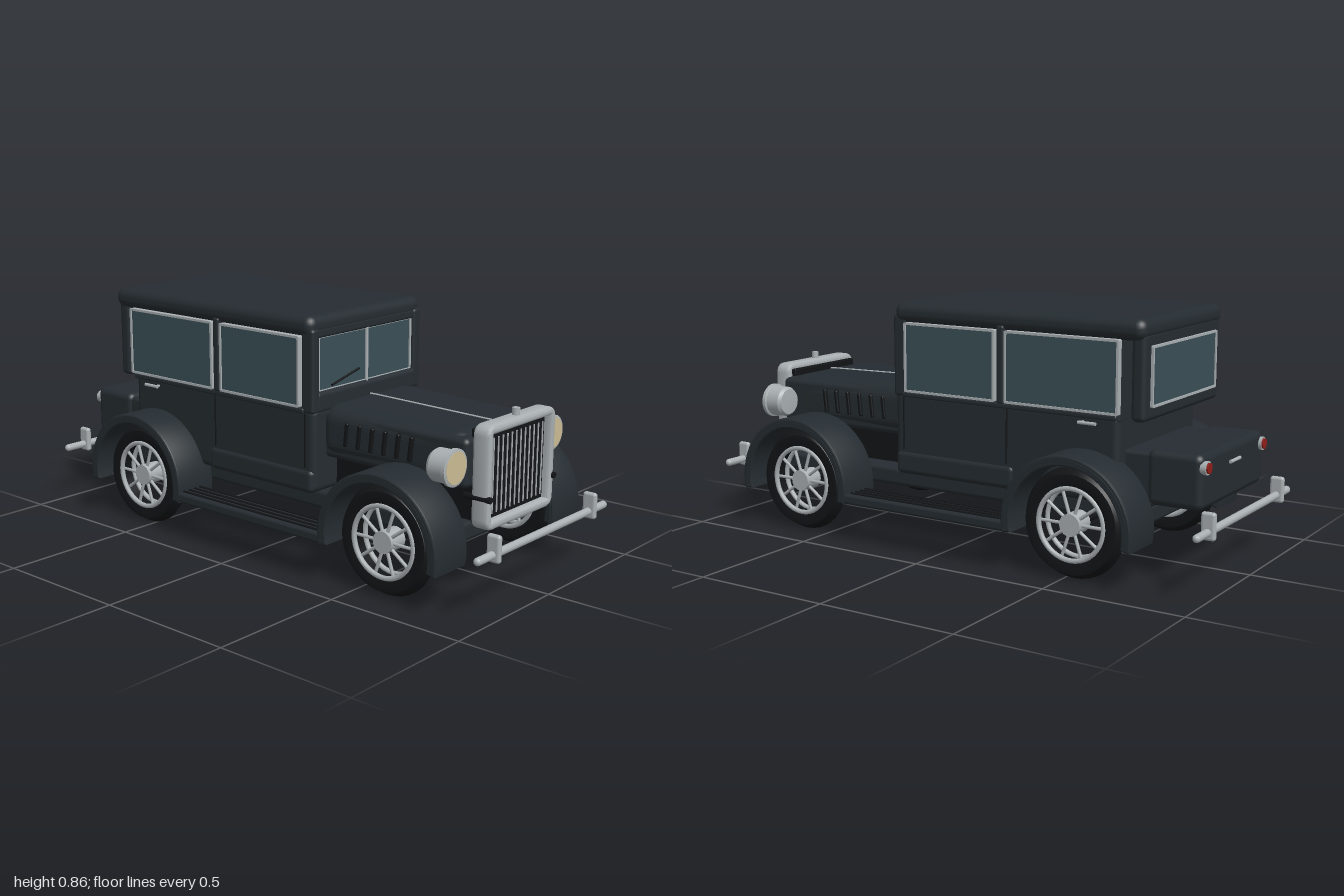
import * as THREE from 'three';
import { toCreasedNormals } from 'three/addons/utils/BufferGeometryUtils.js';
import { RoundedBoxGeometry } from 'three/addons/geometries/RoundedBoxGeometry.js';

const paint = (color) => new THREE.MeshStandardMaterial({ color });
const BODY = paint(0x252c31), BLACK = paint(0x121416), CHROME = paint(0xaab0b3);
const GLASS = paint(0x3b5057), LENS = paint(0xcbbd94), RED = paint(0x8e1f1a);

export function createModel() {
  const car = new THREE.Group();
  car.name = 'vintageCar';

  const add = (name, geo, mat, x = 0, y = 0, z = 0, parent = car) => {
    const m = new THREE.Mesh(geo, mat);
    m.name = name;
    m.position.set(x, y, z);
    parent.add(m);
    return m;
  };
  // Rounded box given by its min/max on each axis
  const block = (name, mat, [x0, x1], [y0, y1], [z0, z1], r = 0.01) =>
    add(name, new RoundedBoxGeometry(x1 - x0, y1 - y0, z1 - z0, 3, r), mat,
      (x0 + x1) / 2, (y0 + y1) / 2, (z0 + z1) / 2);
  const rod = (name, mat, a, b, r, sides = 12, parent = car) => {
    const A = new THREE.Vector3(...a), B = new THREE.Vector3(...b), d = B.clone().sub(A);
    const m = add(name, new THREE.CylinderGeometry(r, r, d.length(), sides), mat, 0, 0, 0, parent);
    m.position.copy(A).add(B).multiplyScalar(0.5);
    m.quaternion.setFromUnitVectors(new THREE.Vector3(0, 1, 0), d.normalize());
    return m;
  };
  const roundRect = (s, w, h, r) => {
    const x = w / 2, y = h / 2;
    s.moveTo(-x + r, -y);
    s.lineTo(x - r, -y); s.quadraticCurveTo(x, -y, x, -y + r);
    s.lineTo(x, y - r); s.quadraticCurveTo(x, y, x - r, y);
    s.lineTo(-x + r, y); s.quadraticCurveTo(-x, y, -x, y - r);
    s.lineTo(-x, -y + r); s.quadraticCurveTo(-x, -y, -x + r, -y);
    return s;
  };
  const frameGeo = (w, h, t, depth, r, bevel) => {
    const s = roundRect(new THREE.Shape(), w - 2 * bevel, h - 2 * bevel, r);
    s.holes.push(roundRect(new THREE.Path(), w - 2 * t + 2 * bevel, h - 2 * t + 2 * bevel, r * 0.4));
    const g = new THREE.ExtrudeGeometry(s, { depth: depth - 2 * bevel, bevelEnabled: bevel > 0,
      bevelSize: bevel, bevelThickness: bevel, bevelSegments: 3, curveSegments: 6 });
    return g.translate(0, 0, bevel - depth / 2);
  };
  // Pane with a thin bright surround, facing +z before turning
  const pane = (name, w, h, x, y, z, turn) => {
    const g = new THREE.Group();
    g.name = name;
    g.position.set(x, y, z);
    g.rotation.y = turn;
    add('glass', new THREE.BoxGeometry(w - 0.01, h - 0.01, 0.012), GLASS, 0, 0, 0, g);
    add('windowSurround', frameGeo(w, h, 0.008, 0.022, 0.006, 0), CHROME, 0, 0, 0, g);
    car.add(g);
  };

  // Chassis, engine bay and cabin
  block('chassis', BODY, [-0.25, 0.25], [0.19, 0.255], [-0.75, 0.81], 0.015);
  block('engineBay', BLACK, [-0.17, 0.17], [0.24, 0.4], [0.2, 0.82], 0.01);
  block('lowerBody', BODY, [-0.29, 0.29], [0.25, 0.55], [-0.655, 0.24], 0.025);
  block('sill', BODY, [-0.297, 0.297], [0.25, 0.335], [-0.26, 0.235], 0.02);
  block('cabin', BODY, [-0.285, 0.285], [0.52, 0.82], [-0.655, 0.215], 0.012);
  block('roof', BODY, [-0.302, 0.302], [0.79, 0.863], [-0.745, 0.235], 0.033);
  block('rearPanel', BODY, [-0.285, 0.285], [0.53, 0.82], [-0.742, -0.69], 0.018);
  block('trunk', BODY, [-0.25, 0.25], [0.258, 0.442], [-0.93, -0.735], 0.025);
  block('trunkMount', BODY, [-0.24, 0.24], [0.25, 0.43], [-0.76, -0.64], 0.015);

  // Windscreen
  block('cowl', BODY, [-0.275, 0.275], [0.525, 0.605], [0.18, 0.242], 0.02);
  block('windscreenHeader', BODY, [-0.285, 0.285], [0.785, 0.82], [0.19, 0.235]);
  pane('windscreen', 0.508, 0.195, 0, 0.695, 0.219, 0);
  rod('windscreenDivider', CHROME, [0, 0.6, 0.23], [0, 0.79, 0.23], 0.006);
  rod('wiper', BLACK, [-0.195, 0.618, 0.238], [-0.05, 0.653, 0.238], 0.004, 6);
  pane('rearWindow', 0.49, 0.2, 0, 0.675, -0.74, Math.PI);

  for (const s of [-1, 1]) {
    const span = (a, b) => (s > 0 ? [a, b] : [-b, -a]);
    const turn = s * Math.PI / 2;
    block('windscreenPost', BODY, span(0.255, 0.295), [0.53, 0.82], [0.185, 0.24], 0.012);
    pane('frontSideWindow', 0.375, 0.245, s * 0.296, 0.672, -0.002, turn);
    pane('rearSideWindow', 0.43, 0.245, s * 0.296, 0.672, -0.443, turn);
    block('doorPillar', BODY, span(0.28, 0.305), [0.545, 0.81], [-0.224, -0.196], 0.008);
    block('doorRail', BODY, span(0.28, 0.302), [0.53, 0.548], [-0.65, 0.2], 0.006);
    rod('doorHandle', CHROME, [s * 0.308, 0.516, -0.515], [s * 0.308, 0.516, -0.58], 0.006);
    rod('handleStem', CHROME, [s * 0.28, 0.516, -0.525], [s * 0.308, 0.516, -0.525], 0.005);
    for (const z of [0.2, -0.23])
      rod('doorSeam', BLACK, [s * 0.29, 0.34, z], [s * 0.29, 0.53, z], 0.003, 6);

    // Running board with ribs
    block('runningBoard', BODY, span(0.3, 0.422), [0.142, 0.178], [-0.315, 0.39], 0.01);
    for (let i = 0; i < 4; i++)
      block('boardRib', BLACK, span(0.315 + i * 0.026, 0.325 + i * 0.026), [0.172, 0.183], [-0.29, 0.36], 0.003);

    // Hood louvres
    for (let i = 0; i < 6; i++) {
      const z = 0.335 + i * 0.054;
      const m = block('hoodLouvre', BLACK, span(0.222, 0.24), [0.425, 0.51], [z - 0.007, z + 0.007], 0.005);
      m.rotation.x = 0.1;
    }

    // Headlamp
    const shell = new THREE.LatheGeometry([[0, -0.045], [0.047, -0.042], [0.055, -0.03], [0.056, 0.022],
      [0.062, 0.025], [0.062, 0.037], [0.053, 0.04], [0, 0.034]].map((p) => new THREE.Vector2(...p)), 28);
    add('headlamp', toCreasedNormals(shell, 0.5), CHROME, s * 0.283, 0.457, 0.782).rotation.x = Math.PI / 2;
    add('headlampLens', new THREE.CylinderGeometry(0.053, 0.053, 0.006, 28), LENS,
      s * 0.283, 0.457, 0.82).rotation.x = Math.PI / 2;
    rod('headlampArm', BODY, [s * 0.19, 0.42, 0.77], [s * 0.265, 0.43, 0.77], 0.012);
    rod('grilleRod', BLACK, [s * 0.187, 0.342, 0.79], [s * 0.187, 0.342, 0.89], 0.011);

    // Tail lamp
    rod('tailLampRim', CHROME, [s * 0.225, 0.4, -0.92], [s * 0.225, 0.4, -0.94], 0.023, 20);
    rod('tailLamp', RED, [s * 0.225, 0.4, -0.93], [s * 0.225, 0.4, -0.946], 0.018, 20);
  }
  rod('trunkHandle', CHROME, [-0.04, 0.385, -0.934], [0.04, 0.385, -0.934], 0.006);

  // Hood, tapering slightly to the front
  const hoodGeo = new RoundedBoxGeometry(0.47, 0.19, 0.6, 5, 0.06);
  const hp = hoodGeo.attributes.position;
  for (let i = 0; i < hp.count; i++) {
    // Rounded ends become flat, the cross-section stays rounded
    const f = (hp.getZ(i) + 0.3) / 0.6;
    hp.setX(i, hp.getX(i) * (1 - 0.05 * f));
    hp.setY(i, hp.getY(i) - 0.012 * f * (hp.getY(i) > 0 ? 1 : 0));
  }
  hoodGeo.computeVertexNormals();
  add('hood', hoodGeo, BODY, 0, 0.462, 0.51);
  block('hoodSkirt', BODY, [-0.225, 0.225], [0.37, 0.535], [0.22, 0.82], 0.02);
  rod('hoodHinge', CHROME, [0, 0.556, 0.25], [0, 0.546, 0.77], 0.004, 6);

  // Radiator grille
  add('grilleSurround', toCreasedNormals(frameGeo(0.39, 0.345, 0.03, 0.065, 0.025, 0.012), 0.6), CHROME, 0, 0.4075, 0.85);
  block('grilleCore', BLACK, [-0.175, 0.175], [0.255, 0.56], [0.8, 0.855], 0.004);
  for (let i = 0; i < 12; i++) {
    const x = (i - 5.5) * 0.0257;
    rod('grilleBar', CHROME, [x, 0.283, 0.864], [x, 0.533, 0.864], 0.003, 6);
  }
  rod('radiatorCap', CHROME, [0, 0.575, 0.85], [0, 0.604, 0.85], 0.013);

  // Bumpers
  for (const z of [0.973, -0.973]) {
    rod('bumperBar', CHROME, [-0.375, 0.212, z], [0.375, 0.212, z], 0.0135, 14);
    for (const s of [-1, 1]) {
      add('bumperTip', new THREE.SphereGeometry(0.0135, 14, 10), CHROME, s * 0.373, 0.212, z);
      block('bumperGuard', CHROME, [s * 0.285 - 0.011, s * 0.285 + 0.011], [0.185, 0.277], [z - 0.025, z + 0.025], 0.01);
    }
  }

  // Fender: an arched band with a bead along its outer edge
  const arch = new THREE.Shape();
  arch.absarc(0, 0, 0.236, -0.17, Math.PI + 0.17, false);
  arch.absarc(0, 0, 0.212, Math.PI + 0.17, -0.17, true);
  const fenderGeo = toCreasedNormals(new THREE.ExtrudeGeometry(arch, { depth: 0.154, bevelEnabled: true,
    bevelSize: 0.006, bevelThickness: 0.008, bevelSegments: 2, curveSegments: 36 }).translate(0, 0, -0.077), 0.5);
  const beadGeo = new THREE.TorusGeometry(0.226, 0.012, 8, 40, Math.PI + 0.34).rotateZ(-0.17);

  // Wheel about the x axis
  const tyreGeo = toCreasedNormals(new THREE.LatheGeometry([[0.125, -0.03], [0.15, -0.036], [0.168, -0.034],
    [0.187, 0], [0.168, 0.034], [0.15, 0.036], [0.125, 0.03], [0.125, -0.03]]
    .map((p) => new THREE.Vector2(...p)), 40), 0.45).rotateZ(Math.PI / 2);
  const rimGeo = new THREE.TorusGeometry(0.121, 0.009, 8, 40).rotateY(Math.PI / 2);

  for (const z of [0.61, -0.53]) {
    rod('axle', BLACK, [-0.33, 0.19, z], [0.33, 0.19, z], 0.015);
    for (const s of [-1, 1]) {
      add('fender', fenderGeo, BODY, s * 0.338, 0.185, z).rotation.y = -Math.PI / 2;
      for (const x of [0.262, 0.412])
        add('fenderBead', beadGeo, BODY, s * x, 0.185, z).rotation.y = -Math.PI / 2;

      const wheel = new THREE.Group();
      wheel.name = 'wheel';
      wheel.position.set(s * 0.346, 0.19, z);
      car.add(wheel);
      add('tyre', tyreGeo, BLACK, 0, 0, 0, wheel);
      for (const x of [-0.028, 0.028]) add('rim', rimGeo, CHROME, x, 0, 0, wheel);
      rod('hub', CHROME, [-0.035, 0, 0], [0.038, 0, 0], 0.038, 20, wheel);
      for (let i = 0; i < 10; i++) {
        const a = (i / 10) * Math.PI * 2, c = Math.cos(a), n = Math.sin(a);
        rod('spoke', CHROME, [s * 0.02, 0.03 * n, 0.03 * c], [s * 0.02, 0.126 * n, 0.126 * c], 0.006, 8, wheel);
      }
    }
  }
  return car;
}
